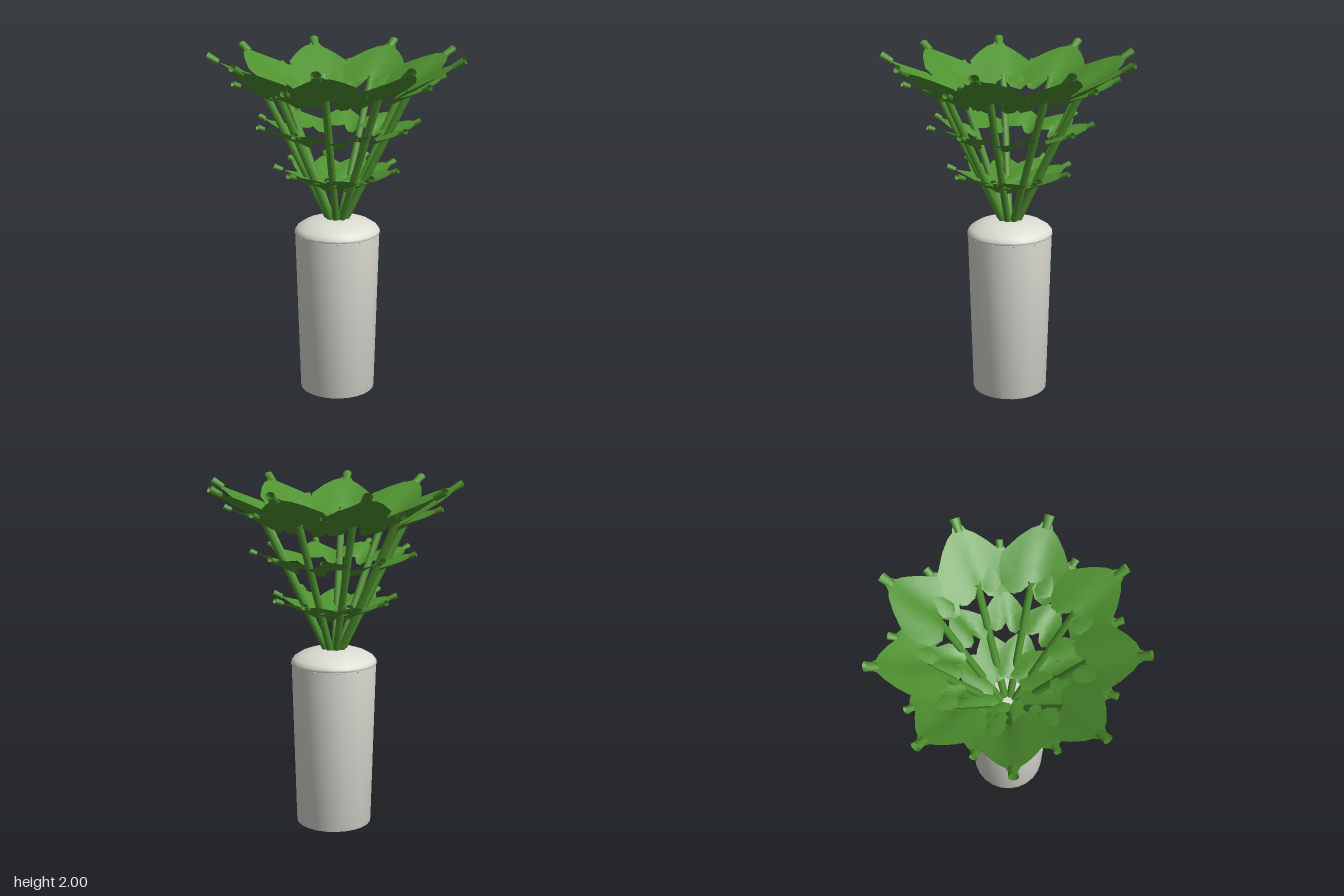
import * as THREE from 'three';

const green = new THREE.MeshStandardMaterial({ color: 0x4f9230, side: THREE.DoubleSide });
green.name = 'leafGreen';
const white = new THREE.MeshStandardMaterial({ color: 0xdcdcd4 });
white.name = 'vaseWhite';

const COUNT = 9;
const STEP = (Math.PI * 2) / COUNT;

function part(name, geometry, material) {
  const mesh = new THREE.Mesh(geometry, material);
  mesh.name = name;
  return mesh;
}

// Half outline of a heart-shaped blade, from notch to narrow tip (width, length)
const HALF = [
  [0, 0], [0.2, -0.19], [0.5, -0.26], [0.8, -0.14], [0.97, 0.06], [0.99, 0.28], [0.65, 0.57],
  [0.38, 0.74], [0.2, 0.81], [0.14, 0.88], [0, 0.9],
];

// Leaf blade: concentric copies of the outline, tilted upward, rolled and gently cupped
function bladeGeometry({ length, width, slope, roll }) {
  const mirrored = HALF.slice(1, -1).reverse().map(([x, z]) => [-x, z]);
  const outline = [...HALF, ...mirrored];
  const n = outline.length;
  const rings = 4;
  const pos = [];
  const index = [];
  const add = (x, z) => {
    const ripple = 0.012 * Math.sin(x * 5) * (1 - z);
    const side = roll * x * width + width * 0.1 * x * x;
    pos.push(x * width, z * length * slope + side + ripple, z * length);
  };
  const cz = 0.22;
  add(0, cz);
  for (let r = 1; r <= rings; r++) {
    const t = r / rings;
    for (const [x, z] of outline) add(x * t, cz + (z - cz) * t);
  }
  // Wound so the upper side faces up
  for (let i = 0; i < n; i++) {
    const j = (i + 1) % n;
    index.push(0, j + 1, i + 1);
    for (let r = 0; r < rings - 1; r++) {
      const a = 1 + r * n + i, b = 1 + r * n + j;
      index.push(a, b, b + n, a, b + n, a + n);
    }
  }
  const geo = new THREE.BufferGeometry();
  geo.setAttribute('position', new THREE.Float32BufferAttribute(pos, 3));
  geo.setIndex(index);
  geo.computeVertexNormals();
  return geo;
}

// Open, slightly flared stub at the end of a leaf
function tipGeometry({ length, width, slope }) {
  const angle = Math.atan(slope);
  const size = (length * 0.2) / Math.cos(angle);
  const geo = new THREE.CylinderGeometry(width * 0.075 + 0.008, width * 0.06 + 0.006, size, 10, 1, true);
  geo.scale(1.25, 1, 1);
  geo.rotateX(Math.PI / 2 - angle);
  geo.translate(0, length * 0.9 * slope, length * 0.9);
  return geo;
}

// Ring of leaves around the bouquet axis
function leafTier(name, tier) {
  const group = new THREE.Group();
  group.name = name;
  const blade = bladeGeometry(tier);
  const tip = tipGeometry(tier);
  for (let i = 0; i < COUNT; i++) {
    const pivot = new THREE.Group();
    pivot.name = 'leafPivot';
    pivot.rotation.y = i * STEP + tier.offset;
    const leaf = new THREE.Group();
    leaf.name = 'leaf';
    leaf.add(part('leafBlade', blade, green), part('leafTip', tip, green));
    leaf.position.set(0, tier.y, tier.radius);
    pivot.add(leaf);
    group.add(pivot);
  }
  return group;
}

function createStems() {
  const group = new THREE.Group();
  group.name = 'stems';
  const curve = new THREE.LineCurve3(new THREE.Vector3(0, 1.0, 0.03), new THREE.Vector3(0, 1.8, 0.42));
  const geo = new THREE.TubeGeometry(curve, 1, 0.021, 8);
  for (let i = 0; i < COUNT; i++) {
    const stem = part('stem', geo, green);
    stem.rotation.y = i * STEP;
    group.add(stem);
  }
  return group;
}

function createVase() {
  const group = new THREE.Group();
  group.name = 'vase';
  const lathe = (pts) => new THREE.LatheGeometry(pts.map(([r, y]) => new THREE.Vector2(r, y)), 24);

  // Tapered body, closed below and turned in under the rim
  group.add(part('vaseBody', lathe([[0, 0], [0.218, 0], [0.244, 0.955], [0.22, 0.97]]), white));

  // Domed top with a slightly overhanging rim
  group.add(part('vaseTop', lathe([
    [0.238, 0.953], [0.247, 0.956], [0.246, 0.97], [0.232, 0.99], [0.19, 1.016],
    [0.13, 1.036], [0.07, 1.042], [0, 1.042],
  ]), white));

  // Small drips under the rim
  const dripGeo = new THREE.SphereGeometry(0.008, 8, 6);
  for (let i = 0; i < 12; i++) {
    const a = (i / 12) * Math.PI * 2;
    const drip = part('drip', dripGeo, white);
    drip.position.set(Math.sin(a) * 0.24, 0.951, Math.cos(a) * 0.24);
    group.add(drip);
  }
  return group;
}

export function createModel() {
  const model = new THREE.Group();
  model.name = 'pottedPlant';
  const half = STEP / 2;
  model.add(
    createVase(),
    createStems(),
    leafTier('lowestLeaves', { y: 1.25, radius: 0.12, length: 0.24, width: 0.12, slope: 0.4, roll: 0.15, offset: 0 }),
    leafTier('lowerLeaves', { y: 1.53, radius: 0.28, length: 0.192, width: 0.11, slope: 0.4, roll: 0.2, offset: half }),
    leafTier('upperLeaves', { y: 1.77, radius: 0.405, length: 0.207, width: 0.13, slope: 0.43, roll: 0.15, offset: half + 0.03 }),
    leafTier('topLeaves', { y: 1.795, radius: 0.41, length: 0.313, width: 0.19, slope: 0.59, roll: 0.12, offset: 0 }),
  );
  model.position.z = -0.022;
  return model;
}
